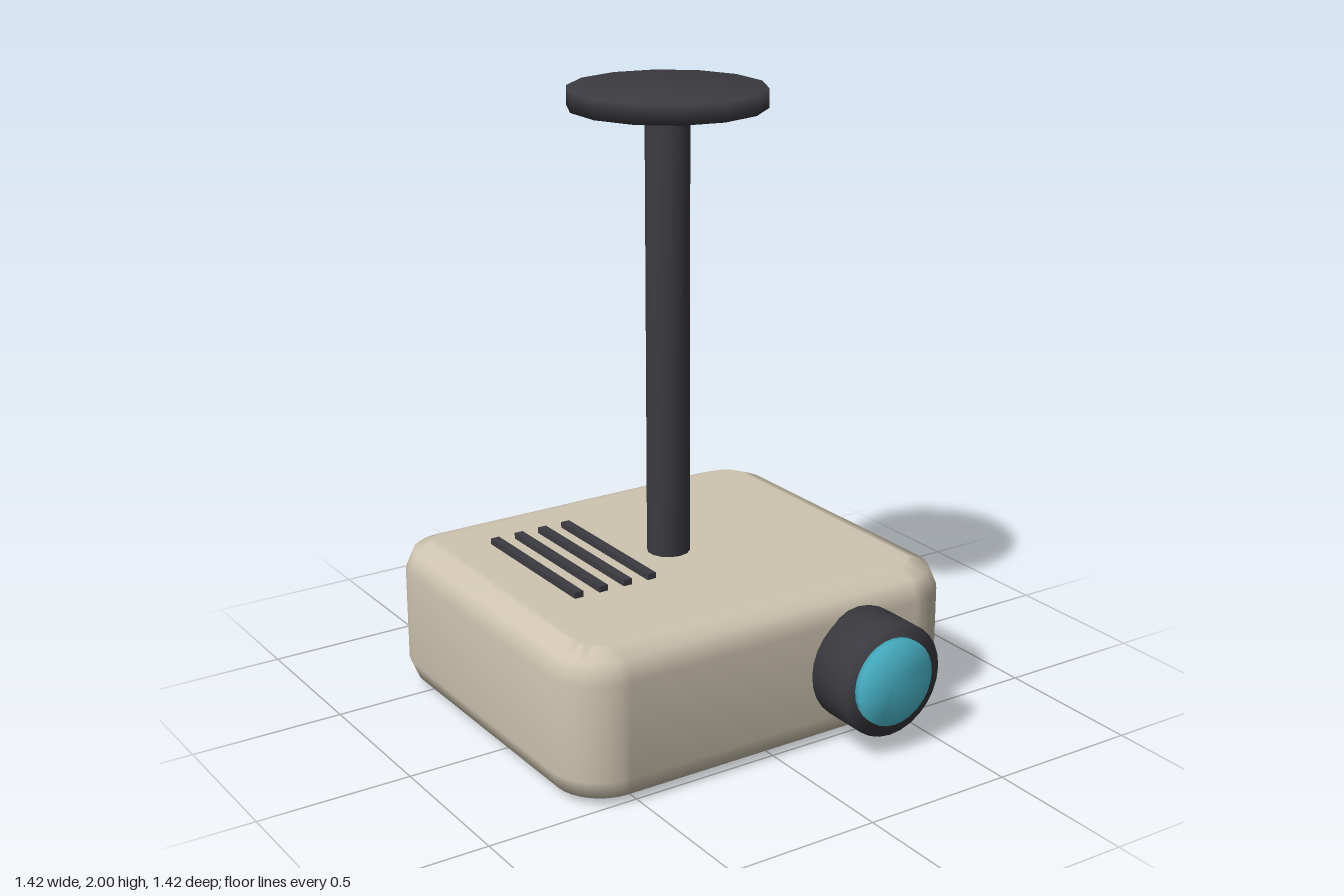
import * as THREE from 'three';
import { mergeVertices } from 'three/addons/utils/BufferGeometryUtils.js';

const AXIS_Z = -0.09; // depth of the body centre and the pole

// Shares normals across edges for a softly shaded surface
function smooth(geometry) {
  geometry.deleteAttribute('normal');
  geometry.deleteAttribute('uv');
  const merged = mergeVertices(geometry, 1e-4);
  merged.computeVertexNormals();
  return merged;
}

function roundedRect(hw, hh, r) {
  const s = new THREE.Shape();
  s.moveTo(hw, -hh + r);
  s.lineTo(hw, hh - r);
  s.absarc(hw - r, hh - r, r, 0, Math.PI / 2);
  s.lineTo(-hw + r, hh);
  s.absarc(-hw + r, hh - r, r, Math.PI / 2, Math.PI);
  s.lineTo(-hw, -hh + r);
  s.absarc(-hw + r, -hh + r, r, Math.PI, Math.PI * 1.5);
  s.lineTo(hw - r, -hh);
  s.absarc(hw - r, -hh + r, r, Math.PI * 1.5, Math.PI * 2);
  return s;
}

export function createModel() {
  const model = new THREE.Group();
  model.name = 'ceilingProjector';

  const material = (name, color) => {
    const m = new THREE.MeshStandardMaterial({ color });
    m.name = name;
    return m;
  };
  const beige = material('beigeCasing', 0xcec4b0);
  const dark = material('darkPlastic', 0x3c3b41);
  const cyan = material('cyanGlass', 0x4fc3d9);

  const add = (name, geometry, mat, x, y, z) => {
    const mesh = new THREE.Mesh(geometry, mat);
    mesh.name = name;
    mesh.position.set(x, y, z);
    model.add(mesh);
    return mesh;
  };

  // Casing: rounded slab with bevelled top and bottom edges
  const bevel = 0.09;
  const casing = new THREE.ExtrudeGeometry(roundedRect(0.62, 0.53, 0.09), {
    depth: 0.49 - bevel * 2, bevelEnabled: true, bevelSize: bevel,
    bevelThickness: bevel, bevelSegments: 2, curveSegments: 4,
  });
  casing.rotateX(-Math.PI / 2);
  add('casing', smooth(casing), beige, 0, bevel, AXIS_Z);

  // Ceiling mount
  add('pole', smooth(new THREE.CylinderGeometry(0.07, 0.07, 1.5, 14)), dark, 0, 1.23, AXIS_Z);
  add('ceilingPlate', smooth(new THREE.CylinderGeometry(0.31, 0.31, 0.06, 14)), dark, 0, 1.97, AXIS_Z);

  // Lens on the front
  const disc = (r, depth) =>
    smooth(new THREE.CylinderGeometry(r, r, depth, 28).rotateX(Math.PI / 2));
  add('lensBarrel', disc(0.185, 0.2), dark, 0.31, 0.25, 0.59);
  add('lensGlass', disc(0.142, 0.05), cyan, 0.31, 0.25, 0.686);

  // Vent slats on top
  for (let i = 0; i < 4; i++) {
    add('ventSlat' + (i + 1), new THREE.BoxGeometry(0.03, 0.04, 0.535), dark,
      -0.445 + i * 0.0885, 0.49, -0.178);
  }
  return model;
}
